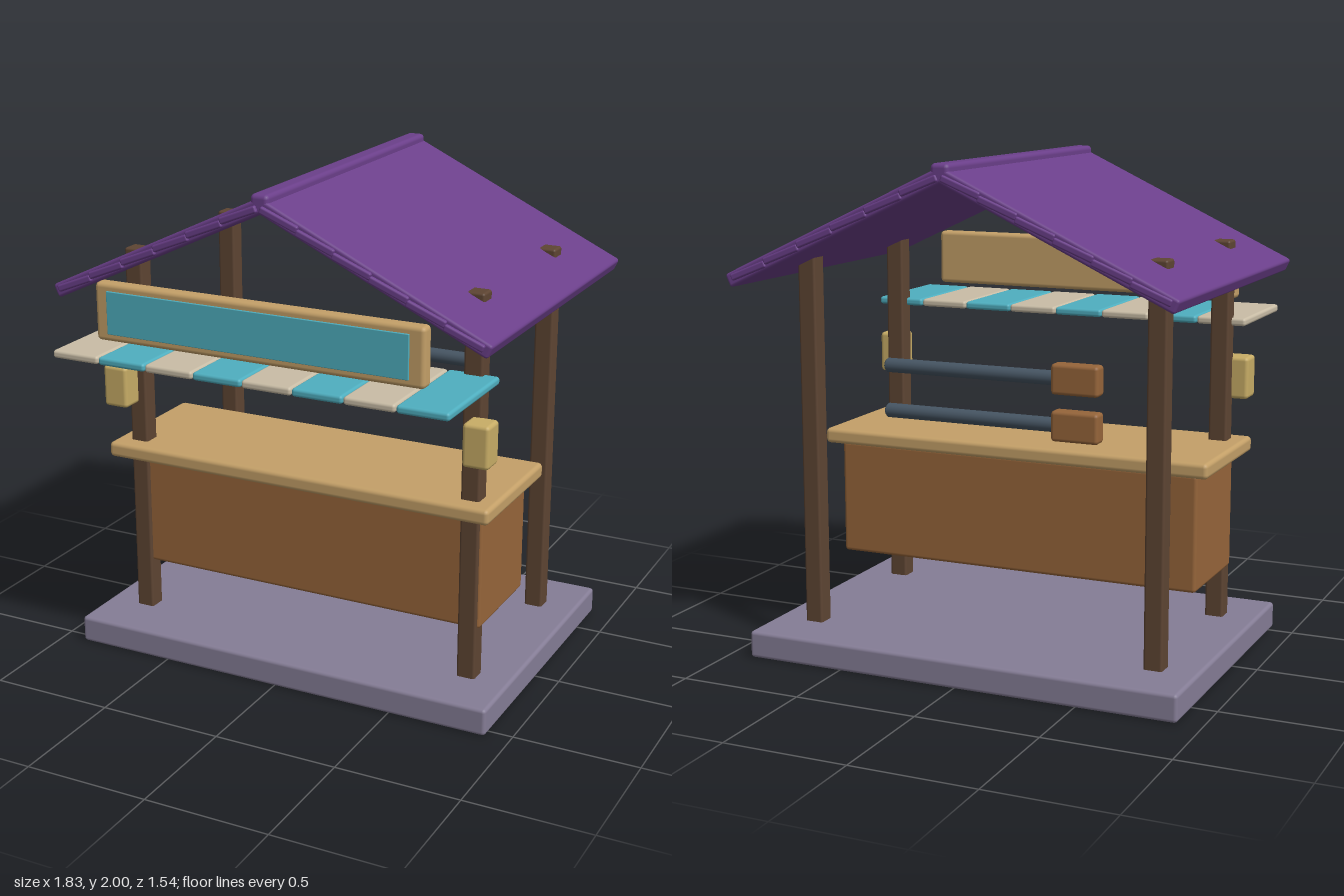
import * as THREE from 'three';
import { RoundedBoxGeometry } from 'three/addons/geometries/RoundedBoxGeometry.js';

const paint = (name, color) => {
  const m = new THREE.MeshStandardMaterial({ color });
  m.name = name;
  return m;
};

export function createModel() {
  const purple = paint('purple roof', 0x6b3f8a);
  const stone = paint('grey stone', 0x857d96);
  const darkWood = paint('dark wood', 0x5e4533);
  const midWood = paint('brown wood', 0x96653a);
  const paleWood = paint('pale wood', 0xc4a068);
  const teal = paint('teal', 0x4fafc0);
  const cream = paint('cream', 0xc9bda6);
  const lampYellow = paint('lamp yellow', 0xc8ad66);
  const iron = paint('blue iron', 0x465563);

  const model = new THREE.Group();
  model.name = 'marketStall';

  const add = (name, geometry, material, parent = model) => {
    const mesh = new THREE.Mesh(geometry, material);
    mesh.name = name;
    parent.add(mesh);
    return mesh;
  };
  // Softened box given by its lower and upper corners
  const block = (name, material, [x0, y0, z0], [x1, y1, z1], bevel = 0.012, parent = model) => {
    const mesh = add(name, new RoundedBoxGeometry(x1 - x0, y1 - y0, z1 - z0, 2, bevel), material, parent);
    mesh.position.set((x0 + x1) / 2, (y0 + y1) / 2, (z0 + z1) / 2);
    return mesh;
  };

  // Floor slab
  block('floorSlab', stone, [-0.905, 0, -0.685], [0.905, 0.11, 0.55], 0.015);

  // Posts, with tips just piercing the roof, and lanterns on the front pair
  for (const side of [-1, 1]) {
    for (const z of [0.297, -0.435]) {
      const x = side * 0.732;
      block('post', darkWood, [x - 0.038, 0.1, z - 0.038], [x + 0.038, 1.658, z + 0.038], 0.01);
    }
    const x = side * 0.783;
    block('lantern', lampYellow, [x - 0.054, 1.013, 0.318], [x + 0.054, 1.185, 0.422], 0.016);
  }

  // Counter
  block('counterBody', midWood, [-0.78, 0.318, -0.128], [0.78, 0.79, 0.32], 0.015);
  block('counterTop', paleWood, [-0.835, 0.787, -0.175], [0.835, 0.85, 0.405], 0.018);

  // Sign board with a raised panel
  block('signFrame', paleWood, [-0.688, 1.378, 0.61], [0.688, 1.608, 0.672], 0.018);
  block('signPanel', teal, [-0.63, 1.41, 0.674], [0.63, 1.58, 0.683], 0.003);

  // Striped awning
  for (let i = 0; i < 8; i++) {
    const x = (i - 3.5) * 0.207;
    block('awningSlat', i % 2 ? teal : cream, [x - 0.102, 1.313, 0.3], [x + 0.102, 1.345, 0.77], 0.012);
  }

  // Hanging tools: round rod with softened ends and a block head
  const rodProfile = [[0, 0], [0.02, 0], [0.029, 0.01], [0.029, 0.72], [0.02, 0.73], [0, 0.73]]
    .map(([r, y]) => new THREE.Vector2(r, y));
  for (const y of [1.172, 0.99]) {
    const tool = new THREE.Group();
    tool.name = 'hangingTool';
    tool.position.set(0, y, -0.342);
    model.add(tool);
    const rod = add('toolRod', new THREE.LatheGeometry(rodProfile, 16), iron, tool);
    rod.rotation.z = -Math.PI / 2;
    rod.position.x = -0.28;
    block('toolHead', midWood, [-0.465, -0.06, -0.035], [-0.27, 0.06, 0.035], 0.015, tool);
  }

  // Two roof slopes, each with overlapping shingle courses showing at the gables
  const pitch = 0.44;
  const slope = 1.003;
  for (const turn of [0, Math.PI]) {
    const half = new THREE.Group();
    half.name = 'roofHalf';
    half.rotation.y = turn;
    model.add(half);
    const tilted = new THREE.Group();
    tilted.name = 'roofSlope';
    tilted.position.y = 1.957;
    tilted.rotation.z = -pitch;
    half.add(tilted);
    const flip = turn ? -1 : 1;
    const span = (front, back) => (flip > 0 ? [back, front] : [-front, -back]);
    const [z0, z1] = span(0.617, -0.763);
    block('roofPanel', purple, [-0.012, -0.028, z0], [slope, 0.028, z1], 0.012, tilted);
    const [t0, t1] = span(0.63, -0.77);
    for (let i = 0; i < 6; i++) {
      const s = 0.01 + i * 0.161;
      const course = block('shingleCourse', purple, [s, -0.014, t0], [s + 0.165, 0.014, t1], 0.008, tilted);
      course.rotation.z = 0.06;
    }
  }

  // Ridge cap
  block('ridgeCap', purple, [-0.038, 1.945, -0.763], [0.038, 2, 0.617], 0.018);

  return model;
}
